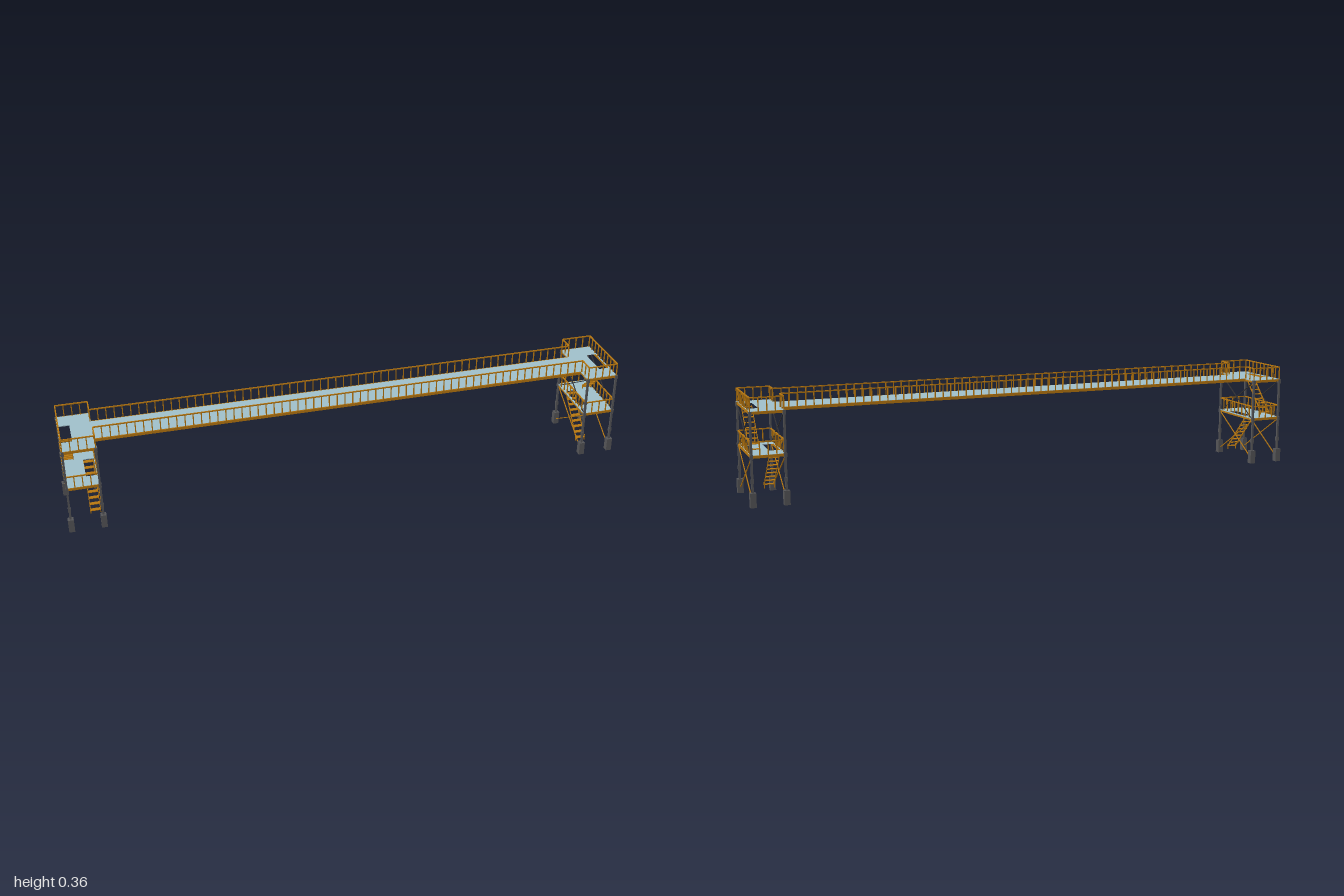
import * as THREE from 'three';
import { mergeGeometries } from 'three/addons/utils/BufferGeometryUtils.js';

const mat = (color) => new THREE.MeshStandardMaterial({ color });
const GOLD = mat(0xb8770f), STEEL = mat(0x555557), DARK = mat(0x333336), DECK = mat(0xa0c0cb);

const TOP = 0.313, MID = 0.17;         // floor levels
const XI = 0.88, XO = 0.99, ZP = 0.117; // tower post positions
const ZB = 0.06;                        // half width of the bridge

const box = (w, h, d, x, y, z) => new THREE.BoxGeometry(w, h, d).translate(x, y, z);

// square bar between two points
function bar(a, b, t, h = t) {
  const p = new THREE.Vector3(...a), q = new THREE.Vector3(...b);
  const g = new THREE.BoxGeometry(t, h, p.distanceTo(q));
  const m = new THREE.Matrix4().lookAt(q, p, new THREE.Vector3(0, 1, 0));
  return g.applyMatrix4(m.setPosition(p.add(q).multiplyScalar(0.5)));
}

function part(name, material, geometries) {
  const mesh = new THREE.Mesh(mergeGeometries(geometries), material);
  mesh.name = name;
  return mesh;
}

// top rail with evenly spaced uprights along a straight run
function railing(name, [x0, z0], [x1, z1], floor, height, spacing = 0.027) {
  const n = Math.max(1, Math.round(Math.hypot(x1 - x0, z1 - z0) / spacing));
  const parts = [bar([x0, floor + height, z0], [x1, floor + height, z1], 0.004)];
  for (let i = 0; i <= n; i++) {
    const t = i / n;
    parts.push(box(0.0035, height, 0.0035, x0 + (x1 - x0) * t, floor + height / 2, z0 + (z1 - z0) * t));
  }
  return part(name, GOLD, parts);
}

// floor plate with a rectangular stair opening
function floorPlate(name, s, y, hx0, hx1) {
  const rect = (C, x0, x1, z0, z1) => new C([[x0, z0], [x1, z0], [x1, z1], [x0, z1]]
    .map(([x, z]) => new THREE.Vector2(s * x, -z)));
  const shape = rect(THREE.Shape, XI - 0.003, XO + 0.002, -ZP, ZP);
  shape.holes.push(rect(THREE.Path, hx0, hx1, -0.053, 0.058));
  const g = new THREE.ExtrudeGeometry(shape, { depth: 0.003, bevelEnabled: false });
  return part(name, DECK, [g.rotateX(-Math.PI / 2).translate(0, y - 0.003, 0)]);
}

// flight of stairs falling from (zTop, yTop) to (zBottom, yBottom)
function stairs(name, x, zTop, yTop, zBottom, yBottom) {
  const parts = [], half = 0.017, steps = 9;
  for (const e of [-half, half]) {
    parts.push(bar([x + e, yTop, zTop], [x + e, yBottom, zBottom], 0.002, 0.005));
    parts.push(box(0.003, 0.022, 0.003, x + e, yBottom - 0.003, zBottom));
  }
  for (let i = 0; i < steps; i++) {
    const t = (i + 0.2) / (steps - 0.8);
    parts.push(box(half * 2, 0.002, 0.015, x,
      yTop + (yBottom - yTop) * t, zTop + (zBottom - zTop) * t));
  }
  return part(name, GOLD, parts);
}

// stair tower at one end; s is the side (+1 or -1)
function tower(s) {
  const g = new THREE.Group();
  g.name = s > 0 ? 'leftTower' : 'rightTower';
  const xi = s * XI, xo = s * XO, xm = (xi + xo) / 2;

  // posts, collars and footings
  const posts = [], footings = [];
  for (const x of [xi, xo]) for (const z of [-ZP, ZP]) {
    posts.push(box(0.007, TOP, 0.007, x, TOP / 2, z));
    for (const y of [0.085, 0.165, 0.306]) posts.push(box(0.01, 0.014, 0.01, x, y, z));
    footings.push(box(0.02, 0.048, 0.02, x, 0.024, z));
  }
  g.add(part('posts', STEEL, posts), part('footings', STEEL, footings));

  // cross braces on the inner and outer faces
  const lower = [], upper = [];
  for (const x of [xi, xo]) for (const k of [-1, 1]) {
    lower.push(bar([x, 0.02, k * 0.109], [x, 0.16, -k * 0.113], 0.003));
    upper.push(bar([x, 0.165, k * 0.113], [x, 0.306, -k * 0.113], 0.003));
  }
  g.add(part('lowerBraces', GOLD, lower), part('upperBraces', DARK, upper));

  // floors with edge beams
  for (const y of [MID, TOP]) {
    const beams = [];
    for (const z of [-ZP, ZP]) beams.push(box(XO - XI, 0.009, 0.005, xm, y - 0.0045, z));
    for (const x of [xi, xo]) beams.push(box(0.005, 0.009, ZP * 2, x, y - 0.0045, 0));
    g.add(part(y === TOP ? 'topFloorBeams' : 'middleFloorBeams', GOLD, beams));
  }
  g.add(floorPlate('topFloor', s, TOP + 0.0005, 0.951, 0.987));
  g.add(floorPlate('middleFloor', s, MID + 0.0005, 0.883, 0.92));

  // railings; the top one opens onto the bridge
  for (const [y, h, label] of [[MID, 0.044, 'middle'], [TOP, 0.045, 'top']]) {
    g.add(railing(label + 'OuterRailing', [xo, -ZP], [xo, ZP], y, h));
    for (const z of [-ZP, ZP]) g.add(railing(label + 'EndRailing', [xi, z], [xo, z], y, h));
    if (y === MID) g.add(railing('middleInnerRailing', [xi, -ZP], [xi, ZP], y, h));
    else for (const k of [-1, 1])
      g.add(railing('topInnerRailing', [xi, k * ZB], [xi, k * ZP], y, h));
  }

  // two flights running in opposite directions
  g.add(stairs('upperStairs', s * 0.969, 0.057, 0.306, -0.058, 0.18));
  g.add(stairs('lowerStairs', s * 0.902, -0.056, 0.163, 0.06, 0.034));
  return g;
}

export function createModel() {
  const model = new THREE.Group();
  model.name = 'footbridge';

  // bridge span: girder slab, side beams and walkway
  const bridge = new THREE.Group();
  bridge.name = 'bridge';
  const span = XI * 2;
  bridge.add(part('bridgeGirder', GOLD, [
    box(span, 0.006, ZB * 2, 0, 0.307, 0),
    ...[-ZB, ZB].map((z) => box(span, 0.01, 0.004, 0, 0.308, z)),
  ]));
  bridge.add(part('walkway', DECK, [box(span, 0.003, ZB * 2 - 0.004, 0, TOP - 0.001, 0)]));
  for (const z of [-ZB, ZB]) bridge.add(railing('bridgeRailing', [-XI, z], [XI, z], TOP, 0.045, 0.028));
  model.add(bridge, tower(1), tower(-1));
  return model;
}
